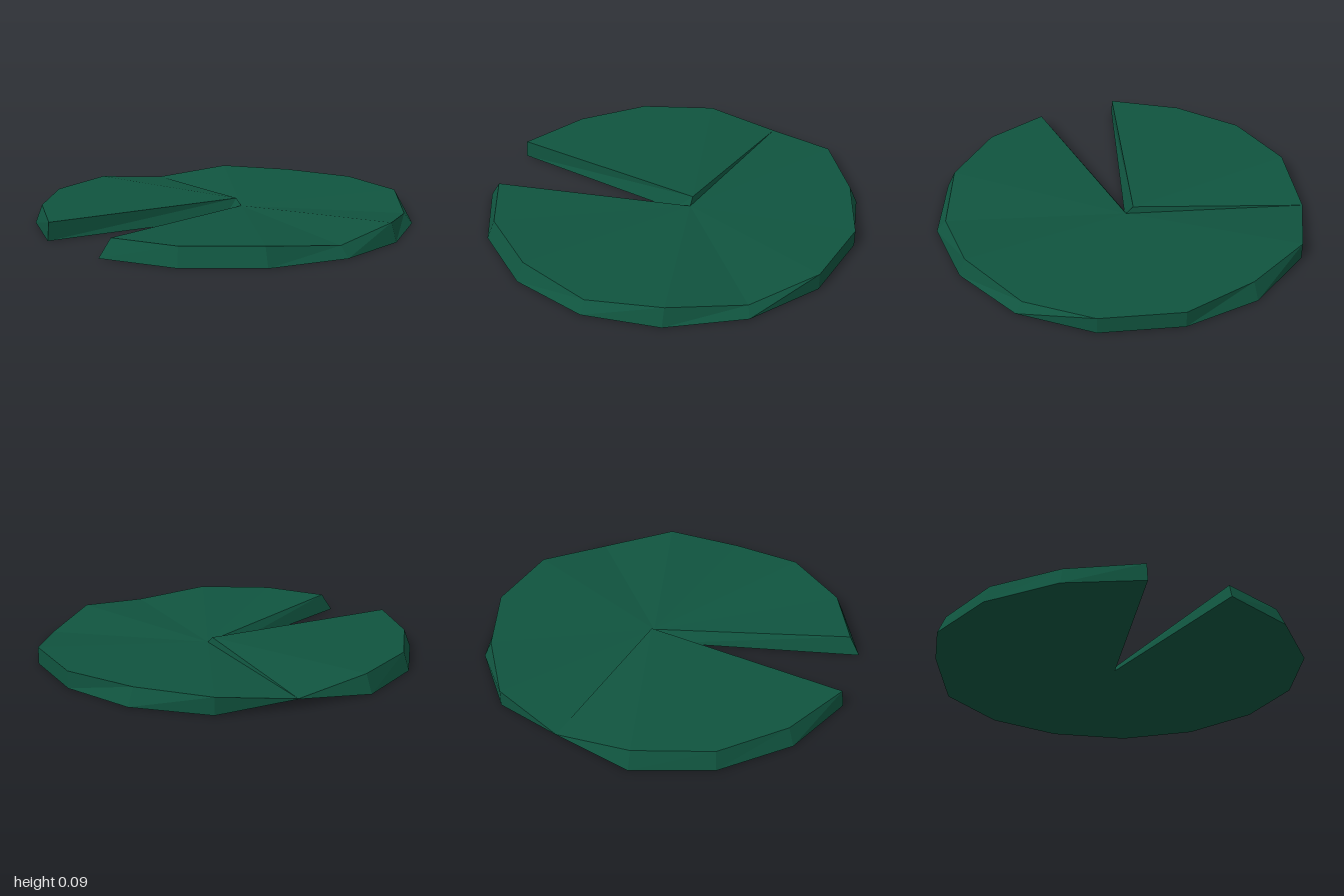
import * as THREE from 'three';

// Flat-shaded mesh from a list of triangles, each made of three [x, y, z] corners
function facets(name, triangles, material) {
  const geometry = new THREE.BufferGeometry();
  geometry.setAttribute('position', new THREE.Float32BufferAttribute(triangles.flat(2), 3));
  geometry.computeVertexNormals();
  const mesh = new THREE.Mesh(geometry, material);
  mesh.name = name;
  return mesh;
}

export function createModel() {
  const leafGreen = new THREE.MeshStandardMaterial({ color: 0x10543f, flatShading: true });
  leafGreen.name = 'leafGreen';

  // Rim stations from one lip of the slit round to the other:
  // lower x, lower z, upper x, upper z, upper height, lower height (0 if absent)
  const rim = [
    [-0.99, -0.22, -0.98, -0.22, 0.095],
    [-0.82, -0.59, -0.79, -0.57, 0.095],
    [-0.51, -0.87, -0.5, -0.84, 0.095],
    [-0.11, -1.0, -0.11, -0.96, 0.095],
    [0.29, -0.915, 0.29, -0.915, 0.045, 0.043],
    [0.66, -0.75, 0.66, -0.75, 0.09],
    [0.91, -0.41, 0.87, -0.4, 0.09],
    [0.99, -0.01, 0.99, -0.01, 0.09],
    [0.91, 0.41, 0.91, 0.41, 0.09],
    [0.66, 0.75, 0.64, 0.71, 0.05],
    [0.29, 0.955, 0.29, 0.92, 0.095],
    [-0.11, 1.0, -0.11, 0.95, 0.055],
    [-0.51, 0.87, -0.49, 0.83, 0.095],
    [-0.82, 0.59, -0.79, 0.56, 0.095],
    [-0.99, 0.21, -0.93, 0.23, 0.095],
  ];
  const lower = rim.map(([x, z, , , , y = 0]) => [x, y, z]);
  const upper = rim.map(([, , x, z, y]) => [x, y, z]);

  // Inner end of the slit: one point below, two above
  const tip = [0, 0, 0];
  const backTip = [0.1, 0.09, -0.02];
  const frontTip = [0.1, 0.055, 0.02];
  const dip = 4; // station where the upper fan changes its centre

  // Leaf top and underside as fans
  const top = [[backTip, frontTip, upper[dip]]];
  const under = [];
  for (let i = 0; i < rim.length - 1; i++) {
    top.push([i < dip ? backTip : frontTip, upper[i + 1], upper[i]]);
    under.push([tip, lower[i], lower[i + 1]]);
  }

  // Edge wall, continuing round both sides of the slit
  const low = [...lower, tip, tip];
  const high = [...upper, frontTip, backTip];
  const wall = [];
  low.forEach((a, i) => {
    const j = (i + 1) % low.length;
    if (a !== low[j]) wall.push([a, high[i], low[j]]);
    wall.push([high[i], high[j], low[j]]);
  });

  const group = new THREE.Group();
  group.name = 'lilyPad';
  group.add(
    facets('leafTop', top, leafGreen),
    facets('leafUnderside', under, leafGreen),
    facets('leafEdge', wall, leafGreen),
  );
  return group;
}
